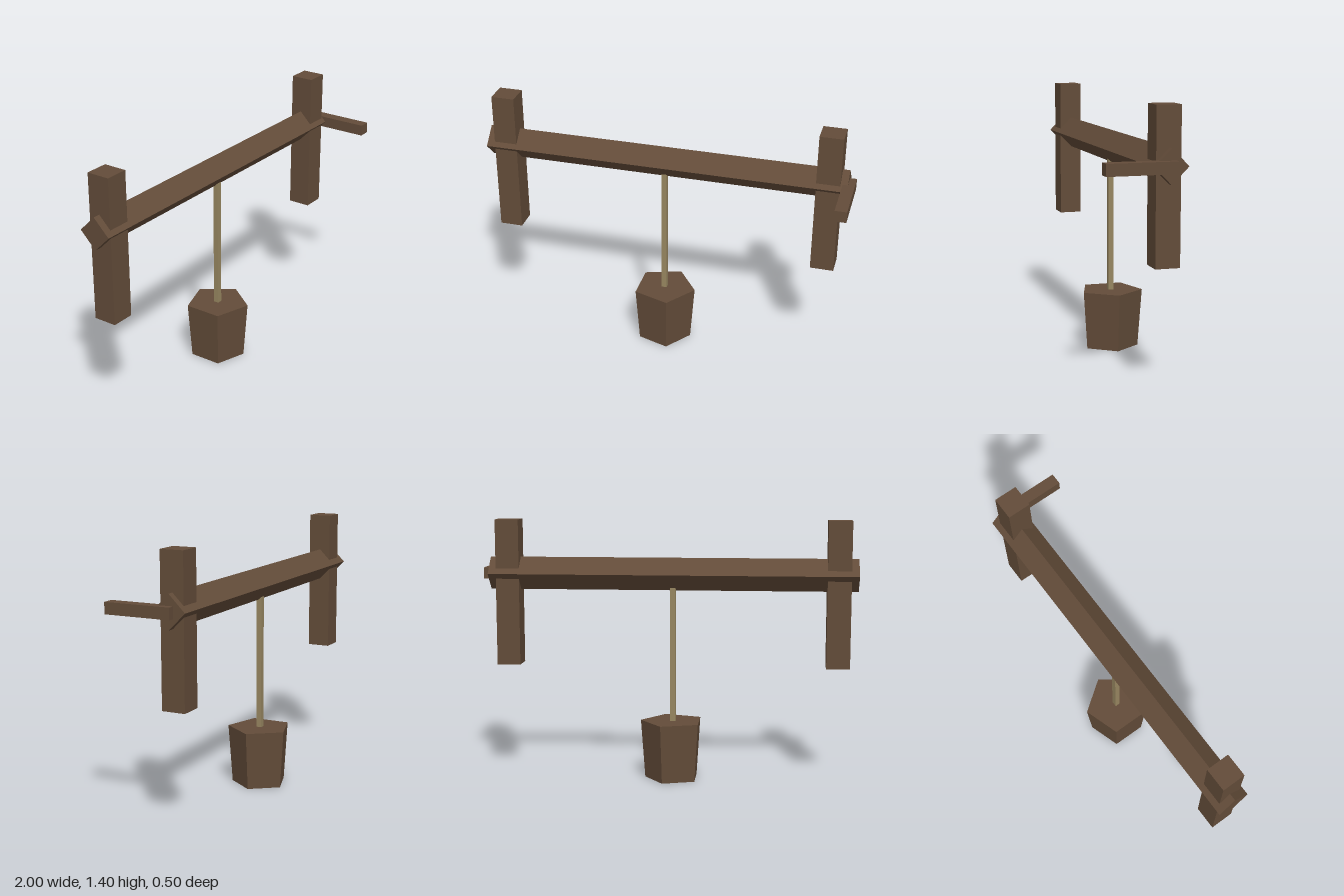
import * as THREE from 'three';

export function createModel() {
  const model = new THREE.Group();
  model.name = 'wellWinch';

  const wood = new THREE.MeshStandardMaterial({ color: 0x634c39, flatShading: true });
  wood.name = 'dark wood';
  const hemp = new THREE.MeshStandardMaterial({ color: 0x978660, flatShading: true });
  hemp.name = 'rope hemp';

  const axisZ = -0.082; // depth shared by posts, beam, rope and bucket
  const ropeX = -0.019;

  function add(name, geometry, material, x, y, z) {
    const mesh = new THREE.Mesh(geometry, material);
    mesh.name = name;
    mesh.position.set(x, y, z);
    model.add(mesh);
    return mesh;
  }

  // Upright posts
  for (const [name, x] of [['rightPost', -0.898], ['leftPost', 0.865]]) {
    add(name, new THREE.BoxGeometry(0.125, 0.78, 0.125), wood, x, 1.01, -0.079);
  }

  // Square beam turned onto its edge
  const side = 0.087 * Math.SQRT2;
  const beam = add('beam', new THREE.BoxGeometry(1.965, side, side), wood, -0.0175, 1.112, axisZ);
  beam.rotation.x = Math.PI / 4;

  // Crank handle at the beam's end
  add('crankHandle', new THREE.BoxGeometry(0.063, 0.06, 0.354), wood, 0.9685, 1.111, 0.072);

  // Rope hanging from the beam into the bucket
  add('rope', new THREE.BoxGeometry(0.03, 0.76, 0.028), hemp, ropeX, 0.68, axisZ);

  // Five-sided tapered bucket, one corner facing +x
  add('bucket', new THREE.CylinderGeometry(0.175, 0.152, 0.316, 5, 1, false, Math.PI / 2),
    wood, ropeX, 0.158, axisZ);

  return model;
}
